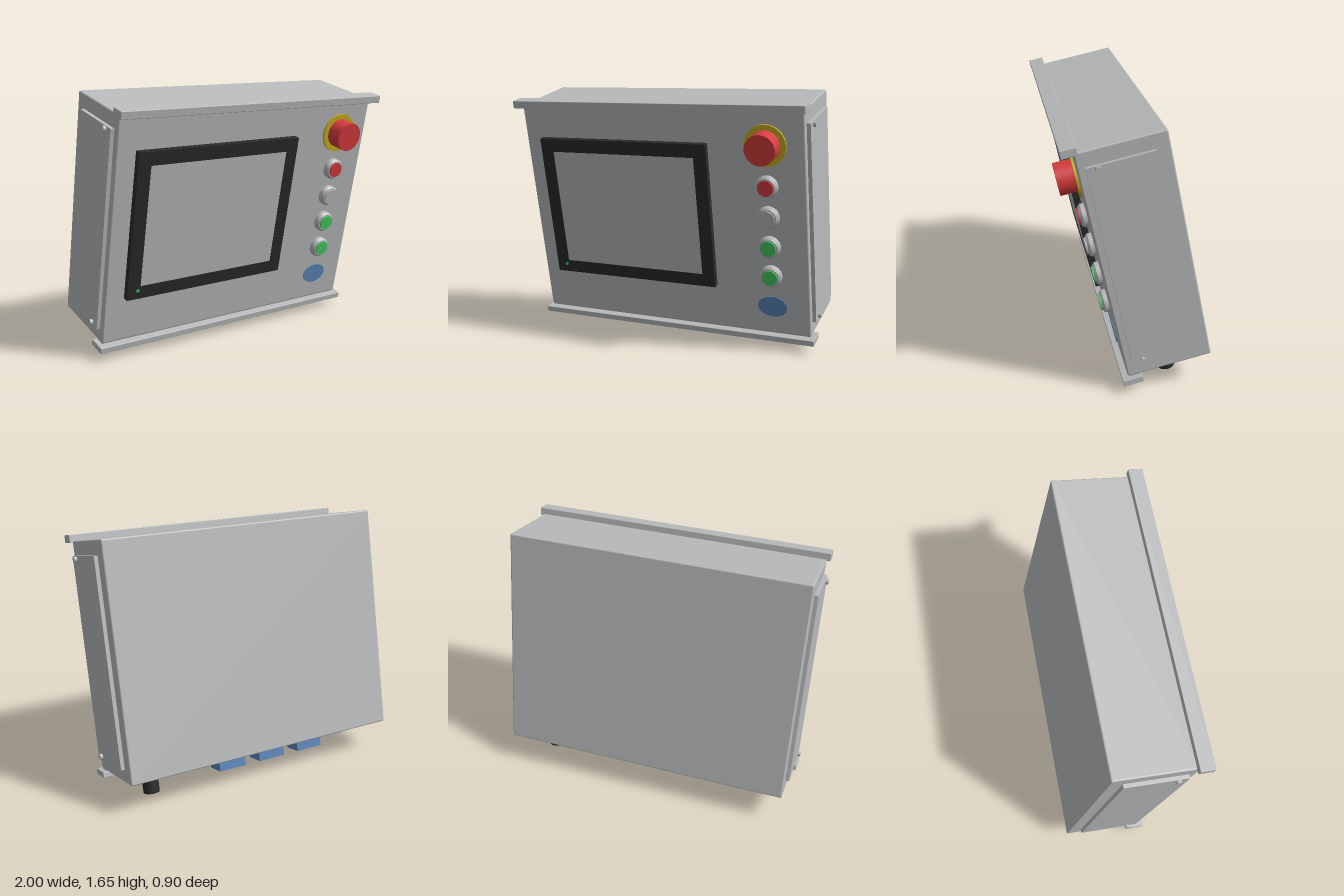
import * as THREE from 'three';
import { RoundedBoxGeometry } from 'three/addons/geometries/RoundedBoxGeometry.js';

const mat = (name, color) => {
  const m = new THREE.MeshStandardMaterial({ color });
  m.name = name;
  return m;
};

export function createModel() {
  const grey = mat('cabinetGrey', 0xb8babc);
  const black = mat('black', 0x2a2a2a);
  const red = mat('red', 0xd83c3e);
  const green = mat('green', 0x48cc64);
  const yellow = mat('yellow', 0xc8b020);
  const blue = mat('blue', 0x5b86b8);

  const model = new THREE.Group();
  model.name = 'controlPanel';

  // Everything sits in a frame leaning back; its origin is the front bottom edge
  const cabinet = new THREE.Group();
  cabinet.name = 'cabinet';
  cabinet.position.set(0, 0.11, 0.055);
  cabinet.rotation.x = THREE.MathUtils.degToRad(12);
  model.add(cabinet);

  const add = (name, geometry, material, x = 0, y = 0, z = 0) => {
    const mesh = new THREE.Mesh(geometry, material);
    mesh.name = name;
    mesh.position.set(x, y, z);
    cabinet.add(mesh);
    return mesh;
  };
  // Box given by its limits on each axis
  const box = (name, material, x0, x1, y0, y1, z0, z1, radius = 0) => {
    const s = [x1 - x0, y1 - y0, z1 - z0];
    const g = radius ? new RoundedBoxGeometry(...s, 3, radius) : new THREE.BoxGeometry(...s);
    return add(name, g, material, (x0 + x1) / 2, (y0 + y1) / 2, (z0 + z1) / 2);
  };
  // Disc or knob on the front face, from depth z0 to z1
  const knob = (name, material, x, y, z0, z1, r, rFront = r) => {
    const g = new THREE.CylinderGeometry(rFront, r, z1 - z0, 48).rotateX(Math.PI / 2);
    return add(name, g, material, x, y, (z0 + z1) / 2);
  };

  // Housing and the two front rails
  box('housing', grey, -0.956, 0.956, 0, 1.472, -0.52, 0, 0.01);
  box('topRail', grey, -0.982, 0.982, 1.464, 1.513, -0.025, 0.07, 0.004);
  box('bottomRail', grey, -0.982, 0.982, -0.045, -0.006, -0.087, 0.039, 0.004);
  box('bottomRailSeat', grey, -0.95, 0.95, -0.007, 0.002, -0.08, -0.01);

  // Side covers with screws
  for (const side of [-1, 1]) {
    box('sideCover', grey, side * 0.967 - 0.013, side * 0.967 + 0.013, 0.087, 1.381, -0.435, -0.042);
    for (const y of [0.107, 1.361]) {
      const g = new THREE.CylinderGeometry(0.018, 0.018, 0.03, 24).rotateZ(Math.PI / 2);
      add('coverScrew', g, grey, side * 0.983, y, -0.108);
    }
  }

  // Display: bezel with a hole, slightly recessed screen, status light
  const rect = (Type, x0, x1, y0, y1) => {
    const p = new Type();
    p.moveTo(x0, y0);
    p.lineTo(x1, y0);
    p.lineTo(x1, y1);
    p.lineTo(x0, y1);
    p.closePath();
    return p;
  };
  const frame = rect(THREE.Shape, -0.83, 0.343, 0.298, 1.255);
  frame.holes.push(rect(THREE.Path, -0.743, 0.259, 0.382, 1.167));
  add('displayBezel', new THREE.ExtrudeGeometry(frame, { depth: 0.04, bevelEnabled: false }), black);
  box('screen', grey, -0.743, 0.259, 0.382, 1.167, 0, 0.036);
  knob('statusLight', green, -0.76, 0.355, 0.038, 0.043, 0.011);

  // Emergency stop
  const column = 0.714;
  knob('stopPlate', yellow, column, 1.252, 0, 0.014, 0.13);
  knob('stopButton', red, column, 1.254, 0.014, 0.117, 0.095);

  // Column of push buttons with collars
  [red, grey, green, green].forEach((material, i) => {
    const y = 0.997 - i * 0.197;
    knob('buttonCollar', grey, column, y, 0, 0.025, 0.07);
    knob('buttonCollarLip', grey, column, y, 0.025, 0.04, 0.07, 0.058);
    knob('buttonCap', material, column, y, 0.04, 0.05, 0.05);
  });

  // Oval plate
  knob('ovalPlate', blue, column, 0.191, 0.007, 0.011, 1).scale.set(0.096, 0.069, 1);

  // Connectors and cable gland underneath
  for (let i = 0; i < 3; i++) {
    const x = -0.437 + i * 0.304;
    box('connector', blue, x - 0.097, x + 0.097, -0.12, 0.005, -0.325, -0.193);
  }
  add('cableGland', new THREE.CylinderGeometry(0.052, 0.052, 0.157, 32), black, 0.736, -0.0735, -0.26);

  return model;
}
